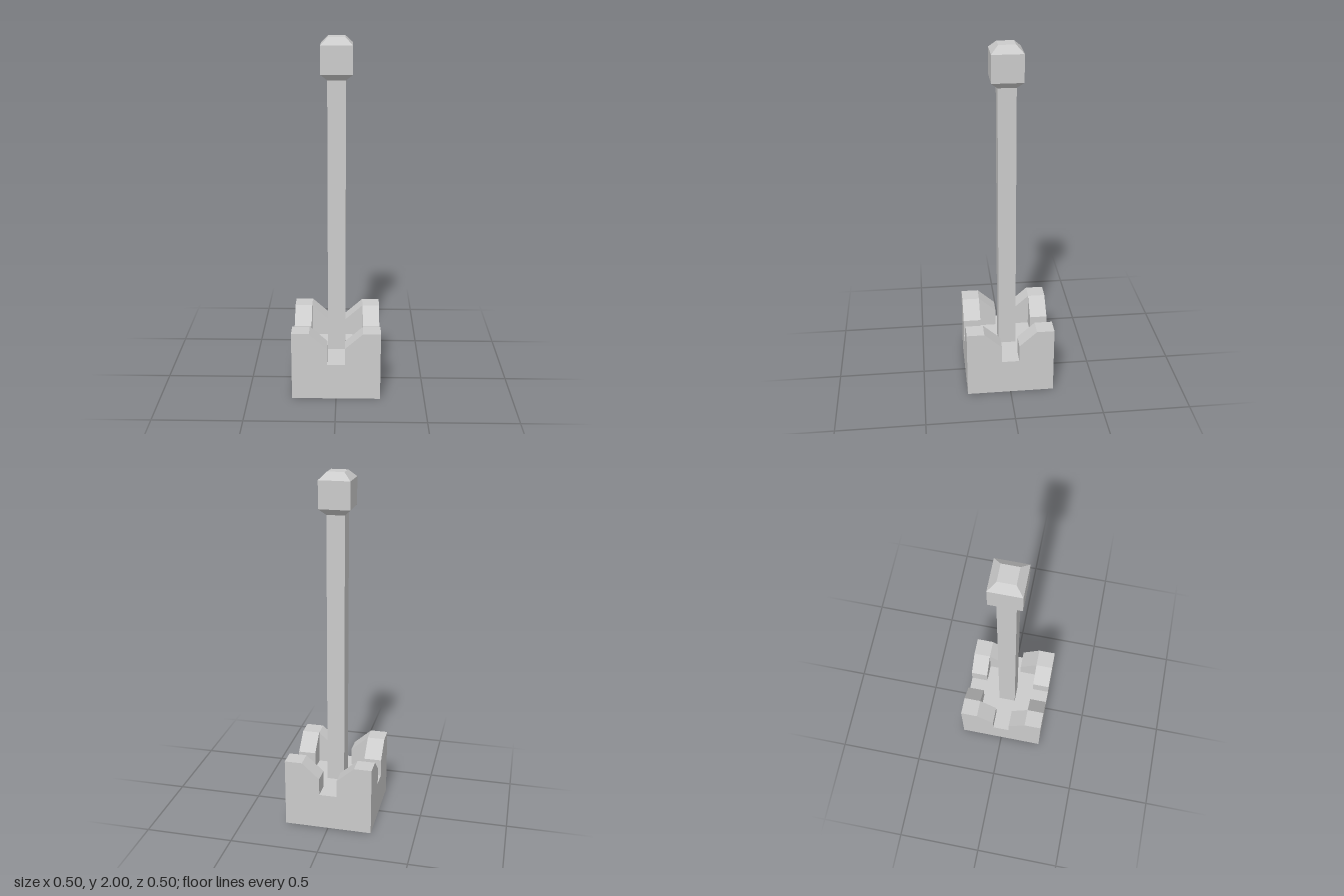
import * as THREE from 'three';

const material = new THREE.MeshStandardMaterial({ color: 0xcccccc, flatShading: true });

function part(name, geometry) {
  const mesh = new THREE.Mesh(geometry, material);
  mesh.name = name;
  return mesh;
}

// Square-sided turned solid from [halfWidth, y] pairs, bottom to top
function squareLathe(profile) {
  const points = profile.map(([half, y]) => new THREE.Vector2(half * Math.SQRT2, y));
  const geometry = new THREE.LatheGeometry(points, 4, Math.PI / 4).toNonIndexed();
  geometry.computeVertexNormals();
  return geometry;
}

// Footing with a notched rim: one half-side, mirrored and turned four times
function footingGeometry() {
  const outer = 0.25, inner = 0.15, slot = 0.05;
  const top = 0.4, lip = 0.31, floor = 0.21;
  const faces = [
    // outer wall
    [[0, 0, outer], [slot, 0, outer], [slot, floor, outer], [0, floor, outer]],
    [[slot, 0, outer], [inner, 0, outer], [inner, top, outer], [slot, lip, outer]],
    [[inner, 0, outer], [outer, 0, outer], [outer, top, outer], [inner, top, outer]],
    // inner wall, slope and slot side
    [[inner, floor, inner], [slot, floor, inner], [slot, lip, inner], [inner, top, inner]],
    [[slot, lip, outer], [inner, top, outer], [inner, top, inner], [slot, lip, inner]],
    [[slot, floor, inner], [slot, floor, outer], [slot, lip, outer], [slot, lip, inner]],
    // half of the corner top
    [[inner, top, inner], [inner, top, outer], [outer, top, outer]],
    // slot floor, inner floor and underside
    [[0, floor, outer], [slot, floor, outer], [slot, floor, inner], [0, floor, inner]],
    [[0, floor, 0], [0, floor, inner], [inner, floor, inner]],
    [[0, 0, 0], [outer, 0, outer], [0, 0, outer]],
  ];
  const positions = [];
  for (let turn = 0; turn < 4; turn++) {
    const c = [1, 0, -1, 0][turn], s = [0, 1, 0, -1][turn];
    for (const side of [1, -1]) {
      for (const face of faces) {
        const corners = face.map(([x, y, z]) => [c * x * side + s * z, y, c * z - s * x * side]);
        if (side < 0) corners.reverse();
        for (let i = 1; i < corners.length - 1; i++) {
          positions.push(...corners[0], ...corners[i], ...corners[i + 1]);
        }
      }
    }
  }
  const geometry = new THREE.BufferGeometry();
  geometry.setAttribute('position', new THREE.Float32BufferAttribute(positions, 3));
  geometry.computeVertexNormals();
  return geometry;
}

export function createModel() {
  const group = new THREE.Group();
  group.name = 'post';
  group.add(
    part('footing', footingGeometry()),
    part('shaft', squareLathe([[0.05, 0.21], [0.05, 1.78]])),
    // bevelled cap
    part('knob', squareLathe([[0.05, 1.775], [0.086, 1.81], [0.086, 1.96], [0.046, 2], [0, 2]])),
  );
  return group;
}
